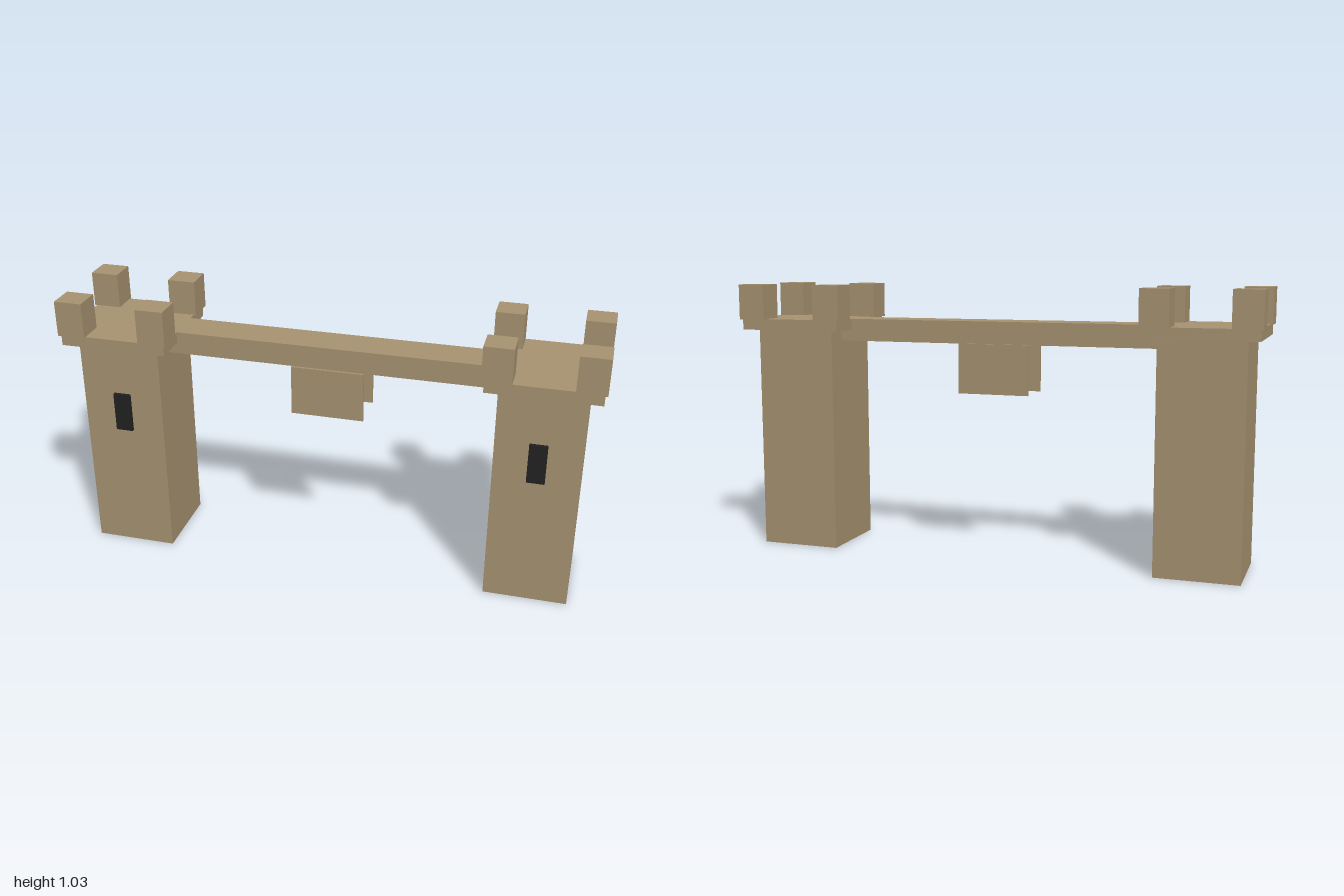
import * as THREE from 'three';

export function createModel() {
  const model = new THREE.Group();
  model.name = 'castleGate';

  const stone = new THREE.MeshStandardMaterial({ color: 0xa89472 });
  stone.name = 'sandstone';
  const dark = new THREE.MeshStandardMaterial({ color: 0x222222 });
  dark.name = 'windowBlack';

  // Box given by its centre in x and z, its bottom and top in y
  function block(parent, name, material, width, depth, bottom, top, x = 0, z = 0) {
    const mesh = new THREE.Mesh(new THREE.BoxGeometry(width, top - bottom, depth), material);
    mesh.name = name;
    mesh.position.set(x, (bottom + top) / 2, z);
    parent.add(mesh);
  }

  // Two towers, each with a cap slab, four corner merlons and a front window
  for (const side of [-1, 1]) {
    const tower = new THREE.Group();
    tower.name = side > 0 ? 'leftTower' : 'rightTower';
    tower.position.x = side * 0.788;
    block(tower, 'towerShaft', stone, 0.314, 0.314, 0, 0.858);
    block(tower, 'towerCap', stone, 0.406, 0.404, 0.858, 0.9);
    for (const sx of [-1, 1]) {
      for (const sz of [-1, 1]) {
        block(tower, 'merlon', stone, 0.106, 0.106, 0.898, 1.033, sx * 0.159, sz * 0.158);
      }
    }
    block(tower, 'window', dark, 0.066, 0.012, 0.508, 0.66, 0, 0.163);
    model.add(tower);
  }

  // Walkway between the towers
  block(model, 'walkway', stone, 1.264, 0.144, 0.815, 0.9);

  // Thin panels hanging below the walkway, front and back
  for (const side of [-1, 1]) {
    block(model, side > 0 ? 'frontPanel' : 'backPanel', stone, 0.274, 0.01, 0.627, 0.816, 0, side * 0.079);
  }

  return model;
}
